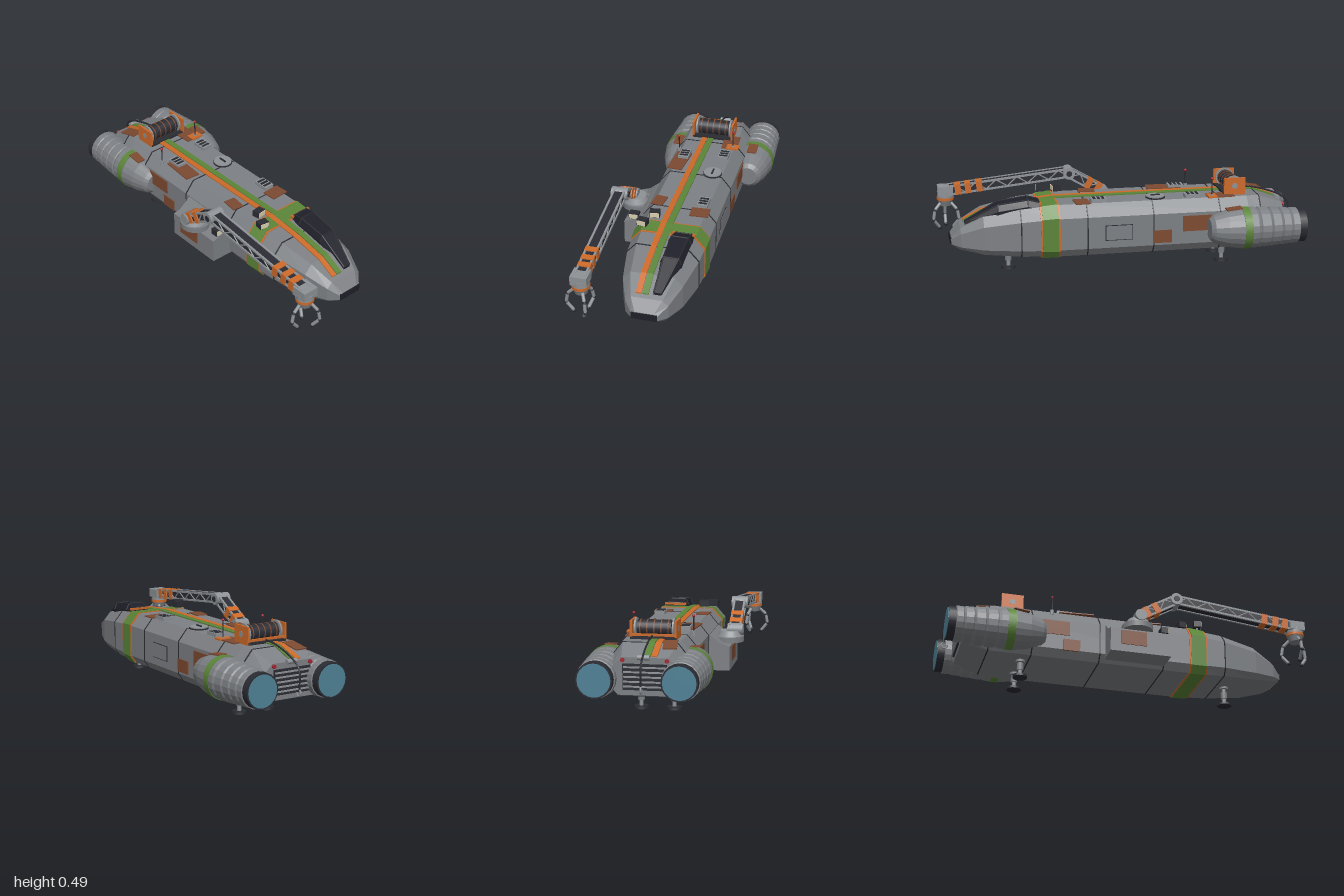
import * as THREE from 'three';

const mat = (name, color) => Object.assign(new THREE.MeshStandardMaterial({ color }), { name });
const M = {
  hull: mat('hull grey', 0x7d8084), metal: mat('light metal', 0x8e9296), dark: mat('dark metal', 0x2b2c33),
  glass: mat('canopy glass', 0x1f2029), orange: mat('orange paint', 0xcc6a2a), green: mat('green paint', 0x5b8539),
  rust: mat('rust', 0x7d4a31), glow: mat('engine glow', 0x4f8196), cream: mat('lamp cream', 0xd8cfae), red: mat('red light', 0xa82430),
};

// ---- helpers ----
function add(parent, name, geo, material, pos = [0, 0, 0], rot = [0, 0, 0]) {
  const m = new THREE.Mesh(geo, material);
  m.name = name;
  m.position.set(...pos);
  m.rotation.set(...rot);
  parent.add(m);
  return m;
}
const box = (p, name, material, size, pos, rot) => add(p, name, new THREE.BoxGeometry(...size), material, pos, rot);
const cyl = (p, name, material, r, h, pos, rot, r2 = r, n = 16) => add(p, name, new THREE.CylinderGeometry(r2, r, h, n), material, pos, rot);
function rod(p, name, material, a, b, r, n = 8) {
  const A = new THREE.Vector3(...a), B = new THREE.Vector3(...b), d = B.clone().sub(A);
  const m = cyl(p, name, material, r, d.length(), A.clone().add(B).multiplyScalar(0.5).toArray(), [0, 0, 0], r, n);
  m.quaternion.setFromUnitVectors(new THREE.Vector3(0, 1, 0), d.normalize());
  return m;
}
// faceted skin through rings of points that turn from +y to +z, with flat ends
function loft(rings) {
  const out = [], n = rings[0].length, last = rings[rings.length - 1];
  const tri = (a, b, c) => out.push(...a, ...b, ...c);
  for (let i = 0; i < rings.length - 1; i++) for (let j = 0; j < n; j++) {
    const k = (j + 1) % n, [r, s] = [rings[i], rings[i + 1]];
    tri(r[j], r[k], s[k]);
    tri(r[j], s[k], s[j]);
  }
  for (let j = 1; j < n - 1; j++) {
    tri(last[0], last[j], last[j + 1]);
    tri(rings[0][0], rings[0][j + 1], rings[0][j]);
  }
  const g = new THREE.BufferGeometry();
  g.setAttribute('position', new THREE.Float32BufferAttribute(out, 3));
  g.computeVertexNormals();
  return g;
}

// ---- hull sections: x, half width, bottom, top ----
const ZC = -0.035;
const S = [[-0.91, 0.16, 0.14, 0.328], [-0.77, 0.19, 0.105, 0.378], [-0.7, 0.2, 0.1, 0.38], [0.35, 0.2, 0.1, 0.38],
  [0.54, 0.193, 0.108, 0.363], [0.74, 0.158, 0.122, 0.325], [0.86, 0.112, 0.145, 0.262], [0.91, 0.068, 0.165, 0.208]];
function at(x) {
  let i = 0;
  while (i < S.length - 2 && x > S[i + 1][0]) i++;
  const t = (x - S[i][0]) / (S[i + 1][0] - S[i][0]);
  return S[i].map((v, k) => v + (S[i + 1][k] - v) * t);
}
function ring(x, pad = 0) {
  let [, w, b, t] = at(x);
  const h = (t - b) / 0.28, tz = w * 0.27, ty = 0.065 * h, bz = w * 0.15, by = 0.042 * h;
  w += pad; b -= pad; t += pad;
  return [[t, w - tz], [t - ty, w], [b + by, w], [b, w - bz], [b, bz - w], [b + by, -w], [t - ty, -w], [t, tz - w]]
    .map(([y, z]) => [x, y, ZC + z]);
}
const span = (a, b) => [a, ...S.map(s => s[0]).filter(x => x > a && x < b), b];
const band = (p, name, m, a, b, pad) => add(p, name, loft(span(a, b).map(x => ring(x, pad))), m);

function buildHull(g) {
  add(g, 'hull', loft(S.map(s => ring(s[0]))), M.hull);
  [-0.77, -0.54, -0.17, 0.19, 0.545].forEach(x => band(g, 'panelSeam', M.dark, x - 0.003, x + 0.003, 0.002));
  band(g, 'bandTrim', M.orange, 0.338, 0.442, 0.003);
  band(g, 'greenBand', M.green, 0.347, 0.433, 0.005);
  // racing stripes along the top
  const stripe = (name, m, z0, z1) => add(g, name, loft(span(-0.9, 0.84).map(x => {
    const y = at(x)[3];
    return [[x, y + 0.006, z0], [x, y + 0.006, z1], [x, y - 0.002, z1], [x, y - 0.002, z0]];
  })), m);
  stripe('orangeStripe', M.orange, -0.004, 0.026);
  stripe('greenStripe', M.green, -0.04, -0.008);
  box(g, 'noseWindow', M.glass, [0.008, 0.036, 0.135], [0.911, 0.187, ZC]);
  // rear grille
  box(g, 'rearGrille', M.dark, [0.012, 0.13, 0.22], [-0.912, 0.232, ZC]);
  for (let i = 0; i < 5; i++) box(g, 'grilleSlat', M.metal, [0.012, 0.008, 0.21], [-0.919, 0.185 + i * 0.024, ZC]);
  [-1, 1].forEach(s => cyl(g, 'tailLight', M.red, 0.01, 0.015, [-0.915, 0.315, ZC + s * 0.11], [0, 0, Math.PI / 2]));
}

function buildCanopy(g) {
  const C = [[0.44, 0.395, -0.18, -0.062], [0.5, 0.41, -0.175, -0.055], [0.66, 0.388, -0.165, -0.055], [0.835, 0.288, -0.11, -0.058]];
  const rings = C.map(([x, t, z0, z1]) => {
    const b = at(x)[3] - 0.06, m = Math.max(t - 0.035, b + 0.03), i = (z1 - z0) * 0.14;
    return [[x, t, z1 - i], [x, m, z1], [x, b, z1], [x, b, z0], [x, m, z0], [x, t, z0 + i]];
  });
  add(g, 'canopy', loft(rings), M.glass);
  // frame bars over the glass
  rings.slice(0, 3).forEach((r, k) => {
    [[1, 0], [0, 5], [5, 4]].forEach(([a, b]) => rod(g, 'canopyRib', M.dark, r[a], r[b], 0.004, 6));
    [0, 5].forEach(j => rod(g, 'canopyRail', M.dark, r[j], rings[k + 1][j], 0.004, 6));
  });
  box(g, 'canopyTrim', M.orange, [0.012, 0.012, 0.125], [0.438, 0.388, -0.121]);
}

function buildEngine(g, z) {
  const e = new THREE.Group();
  e.name = 'engine';
  e.position.set(0, 0.225, z);
  const P = [[0.085, -0.96], [0.098, -0.955], [0.098, -0.92], [0.093, -0.915], [0.1, -0.905], [0.102, -0.865], [0.096, -0.86], [0.104, -0.85],
    [0.106, -0.805], [0.1, -0.8], [0.108, -0.79], [0.11, -0.74], [0.104, -0.735], [0.112, -0.72], [0.112, -0.64], [0.1, -0.56], [0.076, -0.49], [0.055, -0.47], [0, -0.47]];
  const body = new THREE.LatheGeometry(P.map(p => new THREE.Vector2(...p)), 20).rotateZ(-Math.PI / 2).toNonIndexed();
  body.computeVertexNormals();
  add(e, 'nacelle', body, M.hull);
  const q = [0, 0, Math.PI / 2];
  cyl(e, 'engineBand', M.green, 0.1145, 0.042, [-0.665, 0, 0], q, 0.1145, 20);
  cyl(e, 'nozzle', M.dark, 0.092, 0.05, [-0.972, 0, 0], q, 0.092, 20);
  cyl(e, 'exhaust', M.glow, 0.084, 0.004, [-0.998, 0, 0], q, 0.084, 20);
  box(e, 'enginePatch', M.rust, [0.085, 0.006, 0.055], [-0.605, 0.11, z > 0 ? 0.02 : 0], [0, 0, -0.1]);
  g.add(e);
}

function buildPatches(g) {
  // roof: x, z, length, width, turn
  [[0.21, -0.15, 0.08, 0.1, 0.05], [-0.29, 0.088, 0.19, 0.085, -0.08], [0.145, 0.09, 0.09, 0.065, -0.12],
    [-0.56, -0.15, 0.14, 0.09, 0.05], [-0.79, 0.07, 0.11, 0.07, 0.1]].forEach(([x, z, l, w, a]) =>
    box(g, 'roofPatch', M.rust, [l, 0.006, w], [x, at(x)[3] + 0.003, z], [0, a, x < -0.77 ? 0.2 : 0]));
  // sides: x, y, length, height, side
  [[-0.415, 0.265, 0.155, 0.08, 1], [-0.325, 0.17, 0.09, 0.065, 1], [-0.22, 0.19, 0.1, 0.07, -1], [-0.42, 0.255, 0.18, 0.085, -1]]
    .forEach(([x, y, l, h, s]) => box(g, 'sidePatch', M.rust, [l, h, 0.008], [x, y, ZC + s * 0.201]));
  box(g, 'sidePanelGap', M.dark, [0.15, 0.085, 0.004], [0.02, 0.225, ZC - 0.2]);
  box(g, 'sidePanel', M.hull, [0.142, 0.077, 0.008], [0.02, 0.225, ZC - 0.2]);
}

function buildRoof(g) {
  // slatted vents
  [[0.12, -0.15], [-0.4, -0.145], [-0.355, 0.075]].forEach(([x, z]) => {
    box(g, 'vent', M.metal, [0.085, 0.022, 0.058], [x, 0.389, z]);
    for (let i = -1; i <= 1; i++) box(g, 'ventSlot', M.dark, [0.014, 0.006, 0.048], [x + i * 0.024, 0.399, z]);
  });
  cyl(g, 'hatchRim', M.dark, 0.053, 0.01, [-0.2, 0.382, -0.125]);
  cyl(g, 'hatch', M.metal, 0.05, 0.018, [-0.2, 0.384, -0.125]);
  box(g, 'hatchHandle', M.dark, [0.05, 0.008, 0.008], [-0.2, 0.395, -0.125]);
  box(g, 'antennaPlate', M.orange, [0.05, 0.009, 0.07], [-0.505, 0.386, -0.173]);
  // antennas: x, z, foot, tip
  [[-0.505, -0.173, 0.35, 0.483], [-0.43, 0.127, 0.34, 0.462]].forEach(([x, z, a, b]) => {
    rod(g, 'antenna', M.dark, [x, a, z], [x, b, z], 0.003);
    cyl(g, 'antennaFoot', M.metal, 0.01, 0.03, [x, a + 0.03, z]);
    add(g, 'antennaLight', new THREE.SphereGeometry(0.008, 10, 8), M.red, [x, b, z]);
  });
  // floodlights: x, y, z, turn
  [[0.32, 0.414, 0.067, 0.15], [0.4, 0.406, 0.112, -0.15], [0.17, 0.285, 0.225, 0]].forEach(([x, y, z, a]) => {
    const l = new THREE.Group();
    l.name = 'floodlight';
    l.position.set(x, y, z);
    l.rotation.y = a;
    box(l, 'lampHousing', M.dark, [0.04, 0.034, 0.054]);
    box(l, 'lampFace', M.cream, [0.006, 0.026, 0.046], [0.021, 0, 0]);
    rod(l, 'lampPost', M.metal, [0, -0.06, 0], [0, -0.01, 0], 0.006);
    g.add(l);
  });
}

function buildWinch(g) {
  const w = new THREE.Group(), q = [Math.PI / 2, 0, 0];
  w.name = 'winch';
  w.position.set(-0.64, 0.43, -0.034);
  box(w, 'winchBase', M.dark, [0.12, 0.02, 0.235], [0, -0.048, 0]);
  cyl(w, 'drum', M.dark, 0.043, 0.175, [0, 0, 0], q, 0.043, 20);
  for (let i = 0; i < 5; i++) cyl(w, 'cableWrap', M.rust, 0.045, 0.006, [0, 0, -0.072 + i * 0.036], q, 0.045, 20);
  [-1, 1].forEach(s => {
    cyl(w, 'drumFlange', M.metal, 0.052, 0.009, [0, 0, s * 0.097], q, 0.052, 20);
    box(w, 'winchSide', M.orange, [0.12, 0.095, 0.011], [0, -0.003, s * 0.114]);
    cyl(w, 'axleCap', M.metal, 0.016, 0.014, [0, 0, s * 0.114], q);
  });
  box(w, 'winchBar', M.orange, [0.012, 0.012, 0.23], [-0.052, -0.028, 0]);
  g.add(w);
  // tow cable and hook over the tail
  const path = new THREE.CatmullRomCurve3([[-0.67, 0.4], [-0.78, 0.39], [-0.92, 0.345], [-0.98, 0.3], [-0.985, 0.2]].map(p => new THREE.Vector3(...p, -0.04)));
  add(g, 'towCable', new THREE.TubeGeometry(path, 20, 0.005, 6), M.dark);
  add(g, 'towHook', new THREE.TorusGeometry(0.016, 0.005, 6, 12, 4.5), M.metal, [-0.98, 0.182, -0.04], [0, 0, 2]);
  cyl(g, 'cableRoller', M.metal, 0.013, 0.06, [-0.915, 0.33, -0.04], q);
}

function buildLeg(g, x, z) {
  const top = at(x)[2];
  cyl(g, 'legFoot', M.dark, 0.04, 0.014, [x, 0.007, z], [0, 0, 0], 0.038);
  rod(g, 'legStrut', M.metal, [x, 0.01, z], [x, top + 0.01, z], 0.011, 12);
  cyl(g, 'legSleeve', M.hull, 0.018, 0.038, [x, 0.063, z]);
  cyl(g, 'legMount', M.hull, 0.025, 0.016, [x, top - 0.004, z]);
}

// lattice beam from a to b in the arm's plane, with painted collars
function boom(g, name, a, b, h, w, collars) {
  const B = new THREE.Group(), L = Math.hypot(b[0] - a[0], b[1] - a[1]), n = Math.max(3, Math.round(L / 0.06));
  B.name = name;
  B.position.set(a[0], a[1], 0);
  B.rotation.z = Math.atan2(b[1] - a[1], b[0] - a[0]);
  box(B, 'boomCore', M.dark, [L, h * 0.86, w * 0.82], [L / 2, 0, 0]);
  for (const s of [-1, 1]) {
    for (const t of [-1, 1]) box(B, 'boomRail', M.metal, [L, 0.011, 0.011], [L / 2, t * (h / 2 - 0.005), s * (w / 2 - 0.005)]);
    for (let i = 0; i < n; i++) {
      const y = (i % 2 ? 1 : -1) * (h / 2 - 0.006), z = s * (w * 0.42);
      rod(B, 'boomBrace', M.metal, [i * L / n, y, z], [(i + 1) * L / n, -y, z], 0.004, 6);
    }
  }
  collars.forEach(c => box(B, 'boomCollar', M.orange, [0.034, h + 0.004, w + 0.004], [c * L, 0, 0]));
  g.add(B);
}

function buildArm(g) {
  // side pod carrying the turret
  add(g, 'armPod', loft([-0.14, 0.195].map(x => [[x, 0.31, 0.1], [x, 0.31, 0.17], [x, 0.258, 0.235], [x, 0.25, 0.277], [x, 0.118, 0.277], [x, 0.118, 0.1]])), M.hull);
  box(g, 'podPatch', M.rust, [0.14, 0.08, 0.006], [-0.01, 0.2, 0.279]);
  const arm = new THREE.Group(), q = [Math.PI / 2, 0, 0];
  arm.name = 'craneArm';
  arm.position.z = 0.288;
  cyl(arm, 'turretBase', M.hull, 0.085, 0.03, [0.015, 0.27, -0.038], [0, 0, 0], 0.085, 20);
  cyl(arm, 'turret', M.metal, 0.07, 0.035, [0.015, 0.298, -0.03], [0, 0, 0], 0.055, 20);
  cyl(arm, 'shoulder', M.metal, 0.032, 0.085, [0.015, 0.322, 0], q);
  boom(arm, 'lowerBoom', [0.01, 0.322], [0.21, 0.44], 0.058, 0.065, [0.2, 0.46]);
  cyl(arm, 'elbow', M.metal, 0.034, 0.09, [0.215, 0.441, 0], q);
  [-1, 1].forEach(s => cyl(arm, 'elbowCap', M.dark, 0.016, 0.008, [0.215, 0.441, s * 0.045], q));
  boom(arm, 'upperBoom', [0.215, 0.443], [0.92, 0.37], 0.055, 0.065, [0.72, 0.81, 0.89]);
  // wrist and three-fingered claw
  box(arm, 'wrist', M.metal, [0.085, 0.05, 0.088], [0.912, 0.372, 0]);
  cyl(arm, 'wristDrum', M.metal, 0.046, 0.04, [0.912, 0.345, 0]);
  cyl(arm, 'wristRing', M.orange, 0.048, 0.015, [0.912, 0.325, 0]);
  cyl(arm, 'palm', M.hull, 0.034, 0.035, [0.912, 0.302, 0], [0, 0, 0], 0.044);
  for (let i = 0; i < 3; i++) {
    const f = new THREE.Group();
    f.name = 'clawFinger';
    f.position.x = 0.912;
    f.rotation.y = i * Math.PI * 2 / 3;
    const P = [[0, 0.3, 0.035], [0, 0.265, 0.072], [0, 0.21, 0.082], [0, 0.162, 0.042]];
    for (let k = 0; k < 3; k++) {
      rod(f, 'fingerLink', M.metal, P[k], P[k + 1], 0.009);
      add(f, k < 2 ? 'fingerJoint' : 'fingerTip', new THREE.SphereGeometry(0.0105, 8, 6), M.dark, P[k + 1]);
    }
    arm.add(f);
  }
  g.add(arm);
}

export function createModel() {
  const g = new THREE.Group();
  g.name = 'salvageShip';
  [buildHull, buildCanopy, buildPatches, buildRoof, buildWinch, buildArm].forEach(f => f(g));
  [0.15, -0.27].forEach(z => buildEngine(g, z));
  [[-0.58, 0.052], [-0.58, -0.12], [0.6, ZC]].forEach(p => buildLeg(g, ...p));
  return g;
}
